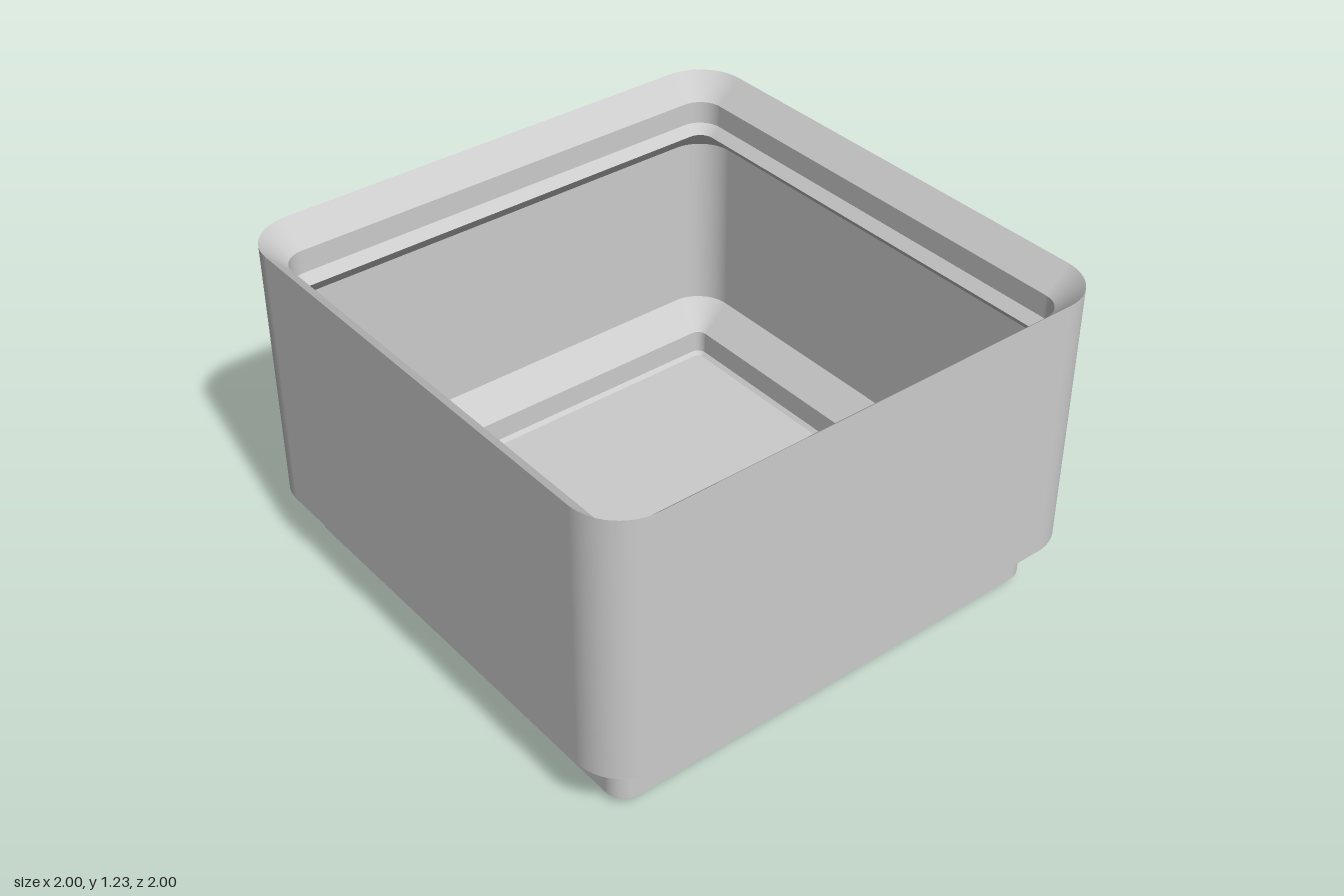
import * as THREE from 'three';

const CORNER = 0.18; // outer corner radius
const STEPS = 12;    // segments per rounded corner

// Rounded-square outline, inset from the 2 x 2 footprint; each entry is [x, z, nx, nz]
function outline(inset) {
  const r = CORNER - inset, c = 1 - CORNER, pts = [];
  for (let q = 0; q < 4; q++) {
    const sx = q === 0 || q === 3 ? 1 : -1, sz = q < 2 ? 1 : -1;
    for (let i = 0; i <= STEPS; i++) {
      const a = (q + i / STEPS) * Math.PI / 2, nx = Math.cos(a), nz = Math.sin(a);
      pts.push([sx * c + r * nx, sz * c + r * nz, nx, nz]);
    }
  }
  return pts;
}

// Sweep a profile of [inset, y] around the outline: crisp between bands, smooth round corners
function sweep(profile) {
  const pos = [], nor = [], idx = [];
  for (let k = 0; k < profile.length - 1; k++) {
    const [i0, y0] = profile[k], [i1, y1] = profile[k + 1];
    const len = Math.hypot(i1 - i0, y1 - y0), up = (i1 - i0) / len, out = (y1 - y0) / len;
    const a = outline(i0), b = outline(i1), n = a.length, base = pos.length / 3;
    for (let j = 0; j < n; j++) {
      pos.push(a[j][0], y0, a[j][1], b[j][0], y1, b[j][1]);
      for (let s = 0; s < 2; s++) nor.push(out * a[j][2], up, out * a[j][3]);
      const p = base + 2 * j, q = base + 2 * ((j + 1) % n);
      idx.push(p, p + 1, q, q, p + 1, q + 1);
    }
  }
  const g = new THREE.BufferGeometry();
  g.setAttribute('position', new THREE.Float32BufferAttribute(pos, 3));
  g.setAttribute('normal', new THREE.Float32BufferAttribute(nor, 3));
  g.setIndex(idx);
  return g;
}

// Flat rounded-square plate facing up or down
function plate(inset, y, facingUp) {
  const shape = new THREE.Shape(outline(inset).map(([x, z]) => new THREE.Vector2(x, z)));
  return new THREE.ShapeGeometry(shape)
    .rotateX(facingUp ? -Math.PI / 2 : Math.PI / 2)
    .translate(0, y, 0);
}

export function createModel() {
  const group = new THREE.Group();
  const material = new THREE.MeshStandardMaterial({ color: 0xcccccc });
  const add = (name, geometry) => {
    const mesh = new THREE.Mesh(geometry, material);
    mesh.name = name;
    group.add(mesh);
  };

  // Stepped foot: small chamfer, straight band, large chamfer
  add('foot', sweep([[0.143, 0], [0.104, 0.039], [0.104, 0.126], [0, 0.23]]));
  add('underside', plate(0.143, 0, false));

  // Outer wall up to the sharp rim
  add('outerWall', sweep([[0, 0.23], [0, 1.227]]));

  // Stacking lip inside the rim, with its sloped underside
  add('stackingLip', sweep([[0, 1.227], [0.089, 1.138], [0.089, 1.052], [0.123, 1.018], [0.04, 0.935]]));

  // Thin-walled cavity that follows the foot down to the floor
  add('innerWall', sweep([[0.04, 0.935], [0.04, 0.247], [0.143, 0.144], [0.143, 0.055], [0.157, 0.041]]));
  add('floor', plate(0.157, 0.041, true));

  return group;
}
